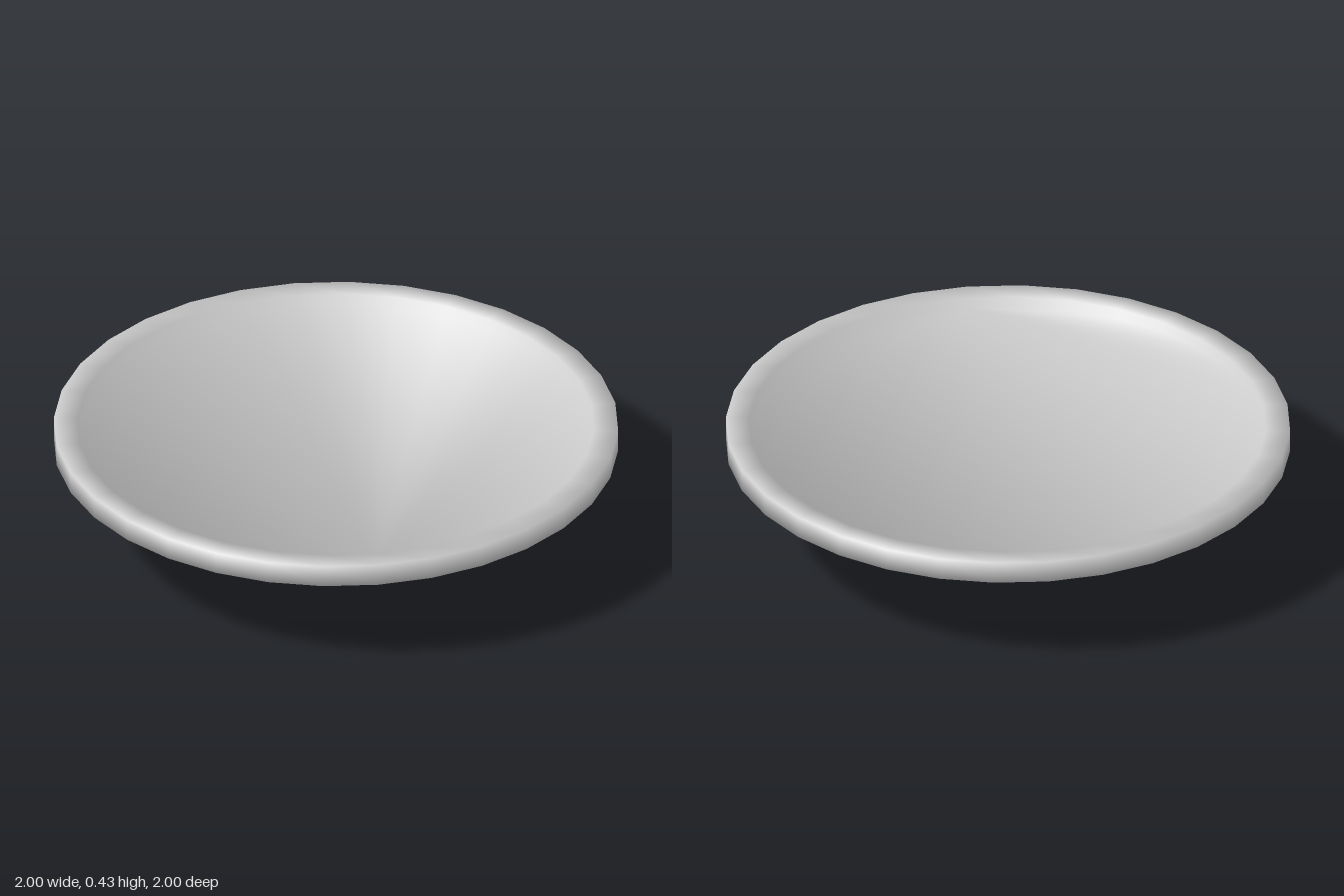
import * as THREE from 'three';

const material = new THREE.MeshStandardMaterial({ color: 0xcccccc });

// Joins equal-sized rings of points into a closed skin with a flat cap at each end
function loft(rings) {
  const n = rings[0].length, last = (rings.length - 1) * n, index = [];
  for (let i = 0; i < rings.length - 1; i++) {
    for (let j = 0; j < n; j++) {
      const a = i * n + j, b = i * n + (j + 1) % n;
      index.push(a, b, a + n, b, b + n, a + n);
    }
  }
  for (let k = 1; k < n - 1; k++) {
    index.push(0, k + 1, k, last, last + k, last + k + 1);
  }
  const geometry = new THREE.BufferGeometry();
  geometry.setAttribute('position', new THREE.Float32BufferAttribute(rings.flat(2), 3));
  geometry.setIndex(index);
  geometry.computeVertexNormals();
  return geometry;
}

// Round plate with a raised rim; profile rows are radius, height, normal out, normal up
function dishGeometry() {
  const sides = 32, s = Math.SQRT1_2;
  const profile = [
    [0.915, 0.39, -s, s],
    [0.915, 0.43, -s, s],
    [1, 0.43, s, s],
    [1, 0.35, s, -s],
  ];
  const ring = (r, y) => Array.from({ length: sides }, (_, j) => {
    const a = -j / sides * Math.PI * 2;
    return [r * Math.sin(a), y, r * Math.cos(a)];
  });
  const geometry = loft(profile.map(([r, y]) => ring(r, y)));
  // Soft shading rolls over every rim edge
  const normals = profile.map(([, , out, up]) => ring(out, up));
  geometry.setAttribute('normal', new THREE.Float32BufferAttribute(normals.flat(2), 3));
  return geometry;
}

// Uneven U-shaped loop with a flattened, four-sided section
function loopGeometry() {
  const path = [
    [-0.325, 0.36], [-0.32, 0.3], [-0.235, 0.15], [0, 0.066],
    [0.18, 0.12], [0.26, 0.27], [0.265, 0.36],
  ];
  // Section corners: offset along z, offset away from the inside of the U
  const section = [[0.11, -0.025], [0.03, 0.065], [-0.11, 0.025], [-0.03, -0.065]];
  const rings = path.map(([x, y], i) => {
    const p = path[Math.max(i - 1, 0)], q = path[Math.min(i + 1, path.length - 1)];
    const t = new THREE.Vector2(q[0] - p[0], q[1] - p[1]).normalize();
    if (i === 0 || i === path.length - 1) t.set(0, Math.sign(t.y));
    return section.map(([z, out]) => [x + t.y * out, y - t.x * out, z]);
  });
  return loft(rings);
}

export function createModel() {
  const group = new THREE.Group();
  const add = (name, geometry, z = 0) => {
    const mesh = new THREE.Mesh(geometry, material);
    mesh.name = name;
    mesh.position.z = z;
    group.add(mesh);
  };
  add('dish', dishGeometry());
  // Two matching loops under the dish
  const loop = loopGeometry();
  add('frontLoop', loop, 0.31);
  add('backLoop', loop, -0.21);
  return group;
}
